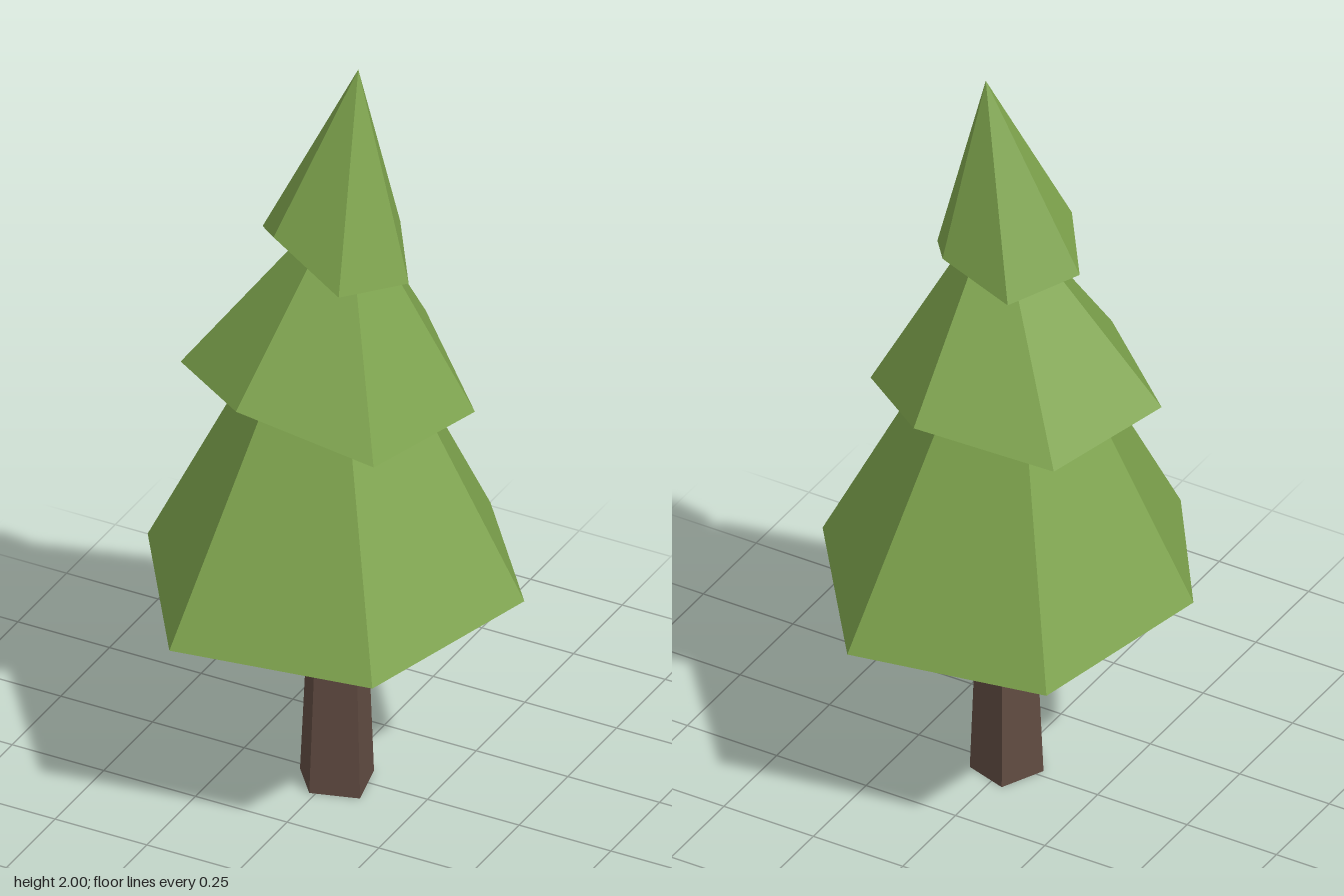
import * as THREE from 'three';

const leaf = new THREE.MeshStandardMaterial({ name: 'leaf green', color: 0x7ea44d });
const shade = new THREE.MeshStandardMaterial({ name: 'underside dark green', color: 0x285e34 });
const bark = new THREE.MeshStandardMaterial({ name: 'bark brown', color: 0x604b41 });

// Flat-faced mesh from a list of triangles, each corner an [x, y, z] point
function facets(name, triangles, material) {
  const geometry = new THREE.BufferGeometry();
  geometry.setAttribute('position', new THREE.Float32BufferAttribute(triangles.flat(2), 3));
  geometry.computeVertexNormals();
  const mesh = new THREE.Mesh(geometry, material);
  mesh.name = name;
  return mesh;
}

// Triangles joining a ring (clockwise from above) to one point above or below it
function fan(ring, tip, facingUp) {
  return ring.map((p, i) => {
    const q = ring[(i + 1) % ring.length];
    return facingUp ? [q, p, tip] : [p, q, tip];
  });
}

// One skirt of branches: uneven six-sided cone with a hollowed underside
function tier(name, ring, tip, hollow) {
  const group = new THREE.Group();
  group.name = name;
  group.add(
    facets(name + 'Top', fan(ring, tip, true), leaf),
    facets(name + 'Underside', fan(ring, hollow, false), shade),
  );
  return group;
}

// Five-sided trunk tapering up into the lowest branches
function trunk() {
  const base = [[0.105, 0, 0.073], [-0.015, 0, 0.108], [-0.087, 0, 0.02], [-0.035, 0, -0.09], [0.075, 0, -0.055]];
  const top = base.map(([x, , z]) => [0.012 + (x - 0.008) * 0.66, 0.76, 0.01 + (z - 0.009) * 0.66]);
  const sides = base.flatMap((p, i) => {
    const j = (i + 1) % base.length;
    return [[base[j], p, top[i]], [base[j], top[i], top[j]]];
  });
  return facets('trunk', [...sides, ...fan(base, [0.008, 0, 0.009], false)], bark);
}

export function createModel() {
  const tree = new THREE.Group();
  tree.name = 'pineTree';
  tree.add(
    trunk(),
    tier('lowerBranches', [
      [0.165, 0.552, -0.483], [0.469, 0.58, -0.085], [0.311, 0.552, 0.398],
      [-0.198, 0.557, 0.482], [-0.469, 0.59, 0.083], [-0.343, 0.56, -0.4],
    ], [-0.01, 1.54, 0], [0, 0.7, 0]),
    tier('middleBranches', [
      [0.071, 1.155, -0.328], [0.33, 1.073, -0.093], [0.24, 1.082, 0.258],
      [-0.113, 1.16, 0.3], [-0.37, 1.117, 0.1], [-0.278, 1.107, -0.255],
    ], [0.025, 1.66, -0.01], [0, 1.33, 0]),
    tier('upperBranches', [
      [0.104, 1.525, -0.135], [0.204, 1.457, 0.01], [0.105, 1.483, 0.183],
      [-0.097, 1.57, 0.137], [-0.197, 1.5, 0.005], [-0.097, 1.478, -0.167],
    ], [0.048, 2, -0.025], [0.01, 1.57, 0]),
  );
  return tree;
}
